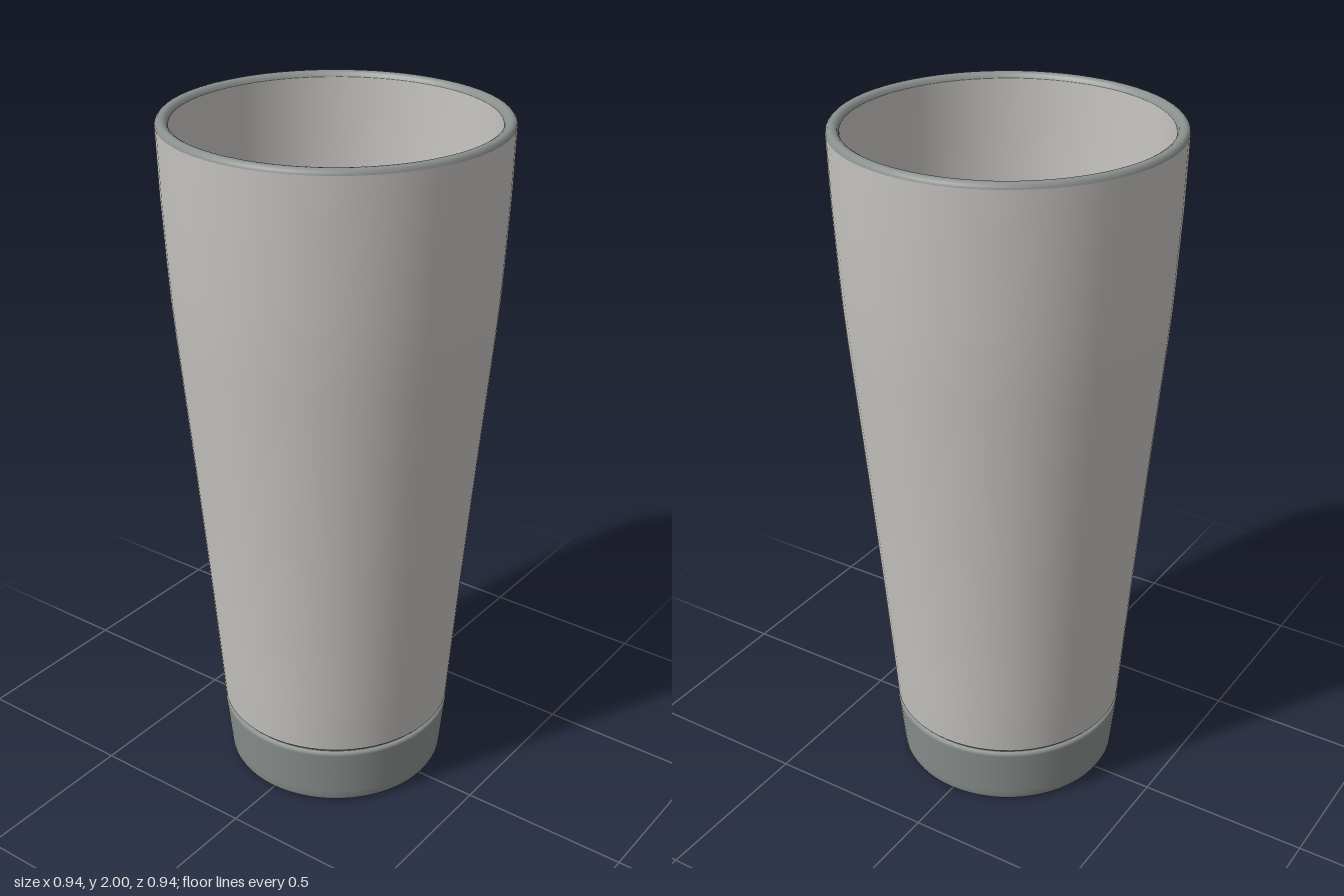
import * as THREE from 'three';

const SEGMENTS = 64;

// Revolve a [radius, height] profile; running up the outside and down the inside keeps faces outward
function turned(name, points, material) {
  const profile = points.map(([r, y]) => new THREE.Vector2(r, y));
  const mesh = new THREE.Mesh(new THREE.LatheGeometry(profile, SEGMENTS), material);
  mesh.name = name;
  return mesh;
}

export function createModel() {
  const steel = new THREE.MeshStandardMaterial({ color: 0xc6c4c0 });
  steel.name = 'brushed steel';
  const grey = new THREE.MeshStandardMaterial({ color: 0x8a908e });
  grey.name = 'cool grey';

  const cup = new THREE.Group();
  cup.name = 'tumbler';

  // Weighted base with rounded foot and a shoulder at the seam
  cup.add(turned('base', [
    [0, 0], [0.305, 0], [0.312, 0.001], [0.32, 0.006], [0.325, 0.016],
    [0.328, 0.04], [0.342, 0.18], [0.342, 0.186], [0.338, 0.191], [0.328, 0.192],
  ], grey));

  // Narrow recessed seam between base and body
  cup.add(turned('seam', [[0.33, 0.188], [0.33, 0.204]], grey));

  // Outer wall: straight taper, easing to nearly vertical near the top
  cup.add(turned('outerWall', [
    [0.329, 0.199], [0.338, 0.2], [0.342, 0.205], [0.357, 0.4], [0.373, 0.6],
    [0.39, 0.8], [0.407, 1.0], [0.425, 1.2], [0.443, 1.4], [0.451, 1.5],
    [0.457, 1.6], [0.467, 1.8], [0.472, 1.985],
  ], steel));

  // Rounded lip
  cup.add(turned('rim', [
    [0.472, 1.985], [0.470, 1.993], [0.464, 1.999], [0.457, 2.0],
    [0.449, 1.999], [0.441, 1.994], [0.437, 1.985],
  ], grey));

  // Inner wall, with a small fillet into the floor
  cup.add(turned('innerWall', [
    [0.437, 1.985], [0.432, 1.8], [0.422, 1.6], [0.416, 1.5], [0.408, 1.4],
    [0.39, 1.2], [0.372, 1.0], [0.355, 0.8], [0.338, 0.6], [0.321, 0.4],
    [0.307, 0.25], [0.302, 0.225], [0.293, 0.208], [0.28, 0.2],
  ], steel));

  // Flat inside floor
  cup.add(turned('floor', [[0.28, 0.2], [0, 0.2]], steel));

  return cup;
}
